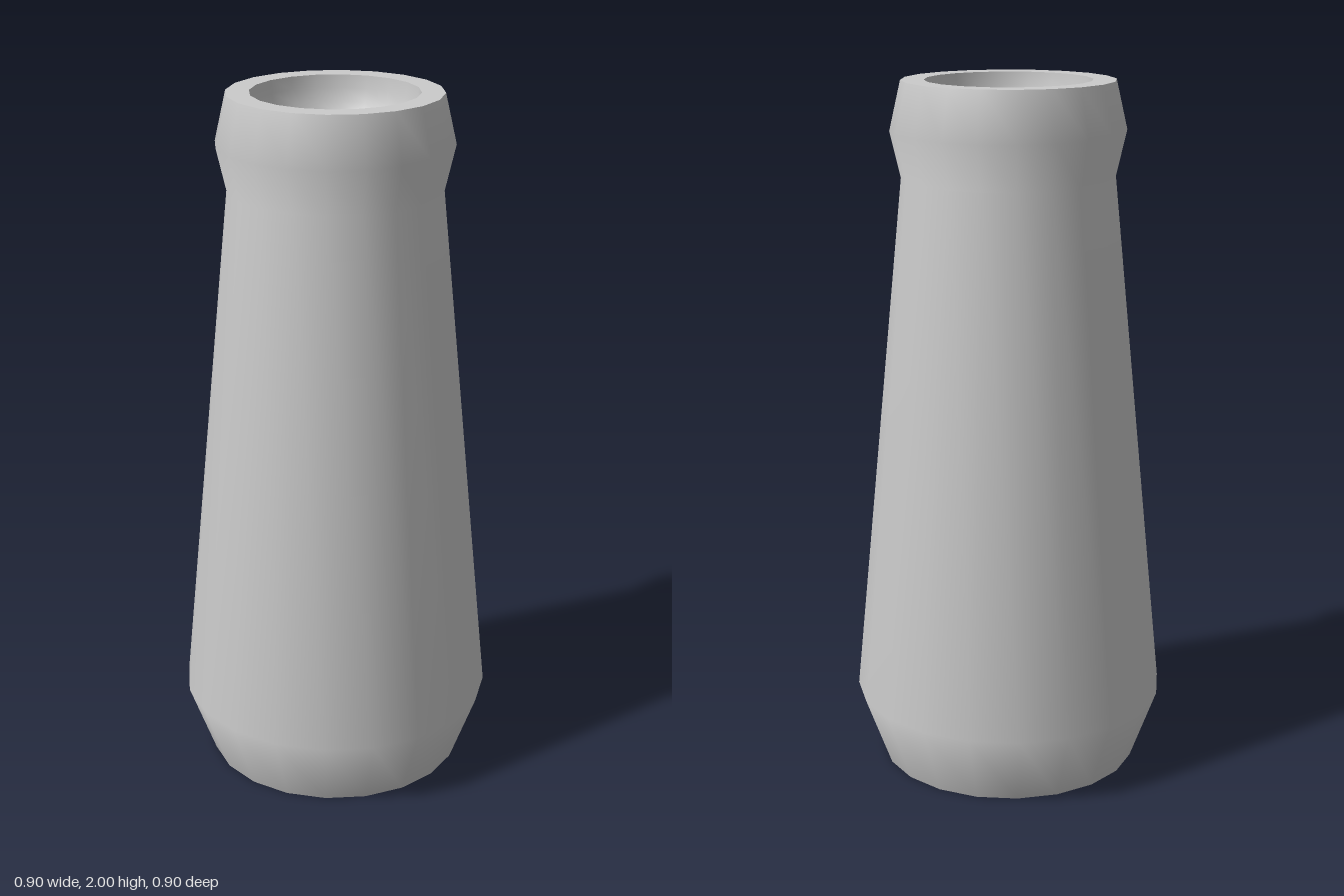
import * as THREE from 'three';

const SIDES = 20;
const material = new THREE.MeshStandardMaterial({ color: 0xcccccc });

// Revolve a profile of [radius, height] pairs
function revolve(name, profile) {
  const points = profile.map(([r, y]) => new THREE.Vector2(r, y));
  const mesh = new THREE.Mesh(new THREE.LatheGeometry(points, SIDES), material);
  mesh.name = name;
  return mesh;
}

export function createModel() {
  const group = new THREE.Group();
  group.name = 'taperedVessel';

  const rimOuter = 0.3, rimInner = 0.235, top = 2;

  // Flat underside
  group.add(revolve('base', [[0, 0], [0.375, 0]]));

  // Smooth outer wall: chamfered foot, long taper, flared collar
  group.add(revolve('body', [
    [0.375, 0], [0.452, 0.21], [0.302, 1.73], [0.332, 1.86], [rimOuter, top],
  ]));

  // Flat ring around the mouth
  group.add(revolve('rim', [[rimOuter, top], [rimInner, top]]));

  // Rounded hollow, from the rim down to its centre
  const bowl = [];
  const steps = 10;
  for (let i = 0; i <= steps; i++) {
    const a = (i / steps) * Math.PI / 2;
    bowl.push([i === steps ? 0 : rimInner * Math.cos(a), top - rimInner * Math.sin(a)]);
  }
  group.add(revolve('hollow', bowl));

  return group;
}
